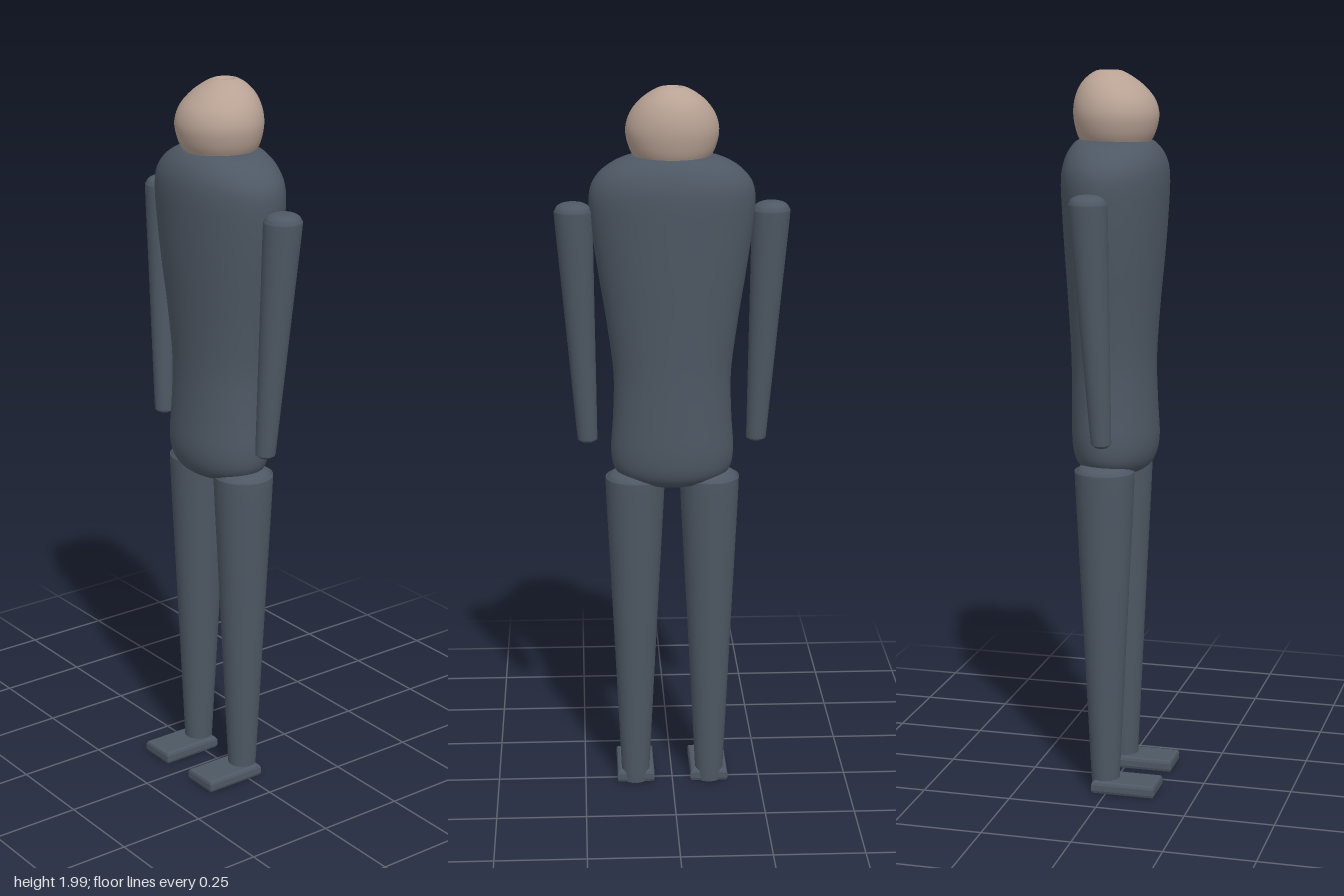
import * as THREE from 'three';

const suit = new THREE.MeshStandardMaterial({ color: 0x4e5864 });
suit.name = 'slate suit';
const skin = new THREE.MeshStandardMaterial({ color: 0xb8a294 });
skin.name = 'pale skin';

// Uniform Catmull-Rom between b and c
function spline(a, b, c, d, t) {
  return 0.5 * (2 * b + (c - a) * t + (2 * a - 5 * b + 4 * c - d) * t * t
    + (3 * b - a - 3 * c + d) * t * t * t);
}

// Smooth loft through elliptical sections [y, rx, rz, cx, cz], listed bottom to top
function loft(sections, segments = 48, steps = 5) {
  const rows = [];
  const at = i => sections[Math.min(Math.max(i, 0), sections.length - 1)];
  for (let i = 0; i < sections.length - 1; i++) {
    for (let s = 0; s < steps; s++) {
      rows.push(at(i).map((v, k) => spline(at(i - 1)[k], v, at(i + 1)[k], at(i + 2)[k], s / steps)));
    }
  }
  rows.push(at(sections.length));
  const pos = [], index = [];
  rows.forEach(([y, rx, rz, cx, cz], r) => {
    for (let j = 0; j < segments; j++) {
      const a = j / segments * Math.PI * 2;
      pos.push(cx + Math.max(rx, 0) * Math.cos(a), y, cz + Math.max(rz, 0) * Math.sin(a));
      if (r === rows.length - 1) continue;
      const p = r * segments + j, q = r * segments + (j + 1) % segments;
      index.push(p, p + segments, q, q, p + segments, q + segments);
    }
  });
  const g = new THREE.BufferGeometry();
  g.setAttribute('position', new THREE.Float32BufferAttribute(pos, 3));
  g.setIndex(index);
  g.computeVertexNormals();
  return g;
}

// Tapered limb with rounded ends, from bottom to top centre points
function limb(bottom, top, r0, r1, round0, round1) {
  const h = top.y - bottom.y;
  const row = (y, k) => {
    const t = (y - bottom.y) / h, r = (r0 + (r1 - r0) * t) * k;
    return [y, r, r, bottom.x + (top.x - bottom.x) * t, bottom.z + (top.z - bottom.z) * t];
  };
  const ends = [[0, 0], [0.03, 0.45], [0.2, 0.78], [0.5, 0.95], [1, 1]];
  return loft([
    ...ends.map(([d, k]) => row(bottom.y + d * round0, k)),
    row(bottom.y + h * 0.35, 1), row(bottom.y + h * 0.65, 1),
    ...ends.slice().reverse().map(([d, k]) => row(top.y - d * round1, k)),
  ], 32, 4);
}

// Flat foot block with a bevelled rim
function footGeometry() {
  const w = 0.044, back = -0.03, front = 0.132;
  const s = new THREE.Shape();
  s.moveTo(-w, -front);
  s.lineTo(w, -front);
  s.lineTo(w, back * -1);
  s.lineTo(-w, back * -1);
  s.closePath();
  const g = new THREE.ExtrudeGeometry(s, {
    depth: 0.016, bevelEnabled: true, bevelThickness: 0.01, bevelSize: 0.009, bevelSegments: 2,
  });
  g.rotateX(-Math.PI / 2);
  // shape y becomes -z, so the toe points forward
  g.translate(0, 0.014, 0);
  return g;
}

export function createModel() {
  const model = new THREE.Group();
  model.name = 'figure';
  const add = (name, geometry, material) => {
    const m = new THREE.Mesh(geometry, material);
    m.name = name;
    model.add(m);
    return m;
  };

  // Torso: hips, waist, chest and rounded shoulders
  add('torso', loft([
    [0.897, 0, 0, 0, -0.007],
    [0.901, 0.06, 0.045, 0, -0.007],
    [0.917, 0.118, 0.085, 0, -0.007],
    [0.945, 0.157, 0.107, 0, -0.007],
    [1.0, 0.169, 0.117, 0, -0.007],
    [1.1, 0.163, 0.115, 0, -0.01],
    [1.22, 0.161, 0.114, 0, -0.012],
    [1.36, 0.178, 0.121, 0, -0.011],
    [1.5, 0.2, 0.131, 0, -0.009],
    [1.62, 0.217, 0.138, 0, -0.008],
    [1.71, 0.223, 0.141, 0, -0.008],
    [1.76, 0.205, 0.134, 0, -0.008],
    [1.798, 0.16, 0.115, 0, -0.01],
    [1.818, 0.1, 0.085, 0, -0.012],
    [1.822, 0, 0, 0, -0.012],
  ]), suit);

  // Head, leaning slightly back towards a small dimpled crown
  add('head', loft([
    [1.79, 0, 0, 0, -0.008],
    [1.795, 0.085, 0.08, 0, -0.008],
    [1.815, 0.104, 0.097, 0, -0.008],
    [1.845, 0.118, 0.109, 0, -0.007],
    [1.885, 0.125, 0.115, 0, -0.007],
    [1.925, 0.115, 0.107, 0, -0.011],
    [1.96, 0.091, 0.085, 0, -0.019],
    [1.985, 0.06, 0.057, 0, -0.025],
    [1.998, 0.034, 0.033, 0, -0.027],
    [1.997, 0.024, 0.024, 0, -0.027],
    [1.993, 0.018, 0.018, 0, -0.027],
    [1.993, 0, 0, 0, -0.027],
  ]), skin);

  for (const [side, x] of [['left', 1], ['right', -1]]) {
    // Arms hang down, slightly inward and forward
    add(side + 'Arm', limb(
      new THREE.Vector3(0.233 * x, 1.015, 0.013),
      new THREE.Vector3(0.267 * x, 1.692, -0.015), 0.027, 0.053, 0.03, 0.045), suit);
    // Tapered legs
    add(side + 'Leg', limb(
      new THREE.Vector3(0.106 * x, 0.006, -0.01),
      new THREE.Vector3(0.103 * x, 0.946, -0.013), 0.038, 0.084, 0.025, 0.05), suit);
    // Feet
    const foot = add(side + 'Foot', footGeometry(), suit);
    foot.position.set(0.105 * x, 0, 0);
  }

  // Stand on the ground
  const box = new THREE.Box3().setFromObject(model);
  for (const part of model.children) part.position.y -= box.min.y;
  return model;
}
